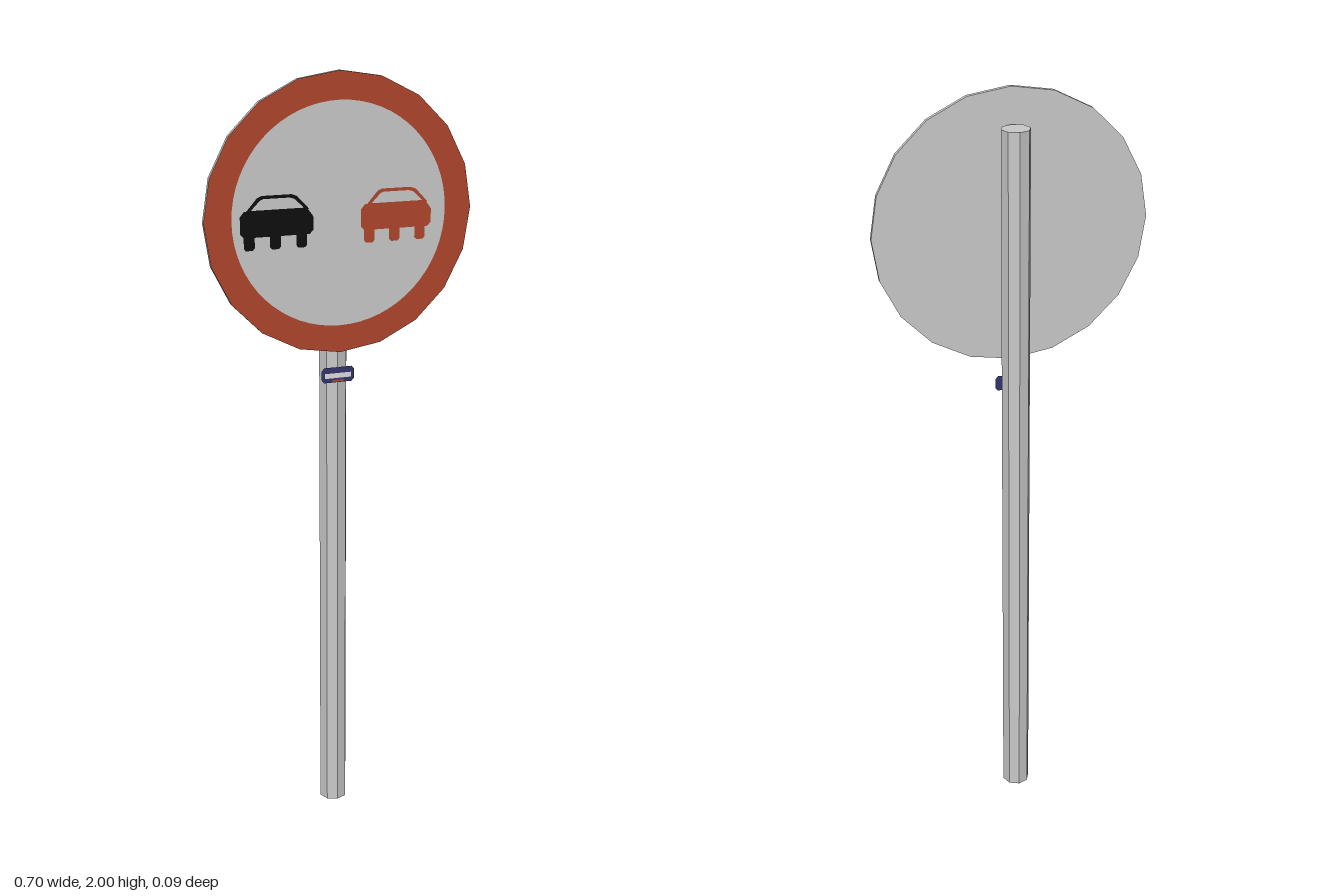
import * as THREE from 'three';

const mat = (name, color, side = THREE.FrontSide) => {
  const m = new THREE.MeshStandardMaterial({ color, side });
  m.name = name;
  return m;
};

export function createModel() {
  const root = new THREE.Group();
  root.name = 'roadSign';
  const grey = mat('light grey', 0xc9c9c9);
  const red = mat('sign red', 0xb0452b);
  const black = mat('black', 0x0e0e0e);
  const blue = mat('navy blue', 0x34356f, THREE.DoubleSide);
  const white = mat('white', 0xdedee2);

  const add = (name, geometry, material, x, y, z, parent = root) => {
    const mesh = new THREE.Mesh(geometry, material);
    mesh.name = name;
    mesh.position.set(x, y, z);
    parent.add(mesh);
    return mesh;
  };
  const polygon = (points) => new THREE.Shape(points.map(([x, y]) => new THREE.Vector2(x, y)));

  // Eight-sided post
  const post = new THREE.CylinderGeometry(0.037, 0.037, 1.91, 8).toNonIndexed();
  post.computeVertexNormals();
  add('post', post, grey, 0, 0.955, -0.015);

  // Twenty-sided sign plate
  const signY = 1.65;
  const plate = new THREE.CylinderGeometry(0.35, 0.35, 0.012, 20).toNonIndexed();
  plate.rotateX(Math.PI / 2);
  plate.computeVertexNormals();
  add('signPlate', plate, grey, 0, signY, 0.034);

  // Red border: the outer edge follows the plate, the inner edge is round
  const border = new THREE.Shape();
  for (let i = 0; i < 20; i++) {
    const a = (i / 20) * Math.PI * 2;
    border[i ? 'lineTo' : 'moveTo'](0.35 * Math.cos(a), 0.35 * Math.sin(a));
  }
  border.closePath();
  border.holes.push(new THREE.Path().absarc(0, 0, 0.28, 0, Math.PI * 2, true));
  add('redBorder', new THREE.ShapeGeometry(border, 32), red, 0, signY, 0.041);

  // Car pictogram: bevelled body, framed cabin and three feet
  const body = polygon([
    [-0.085, -0.032], [0.085, -0.032], [0.094, -0.022], [0.094, 0.012], [0.078, 0.033],
    [-0.083, 0.033], [-0.094, 0.02], [-0.094, -0.022],
  ]);
  const cabin = polygon([
    [-0.08, 0.03], [0.084, 0.03], [0.052, 0.064], [0.038, 0.069], [-0.038, 0.069], [-0.05, 0.064],
  ]);
  cabin.holes.push(polygon([
    [-0.066, 0.034], [-0.042, 0.058], [-0.034, 0.061], [0.034, 0.061], [0.046, 0.057], [0.07, 0.034],
  ]));
  const feet = [-0.071, -0.004, 0.064].map((x) => polygon([
    [x - 0.014, -0.058], [x - 0.009, -0.064], [x + 0.009, -0.064],
    [x + 0.014, -0.058], [x + 0.014, -0.03], [x - 0.014, -0.03],
  ]));
  const addCar = (name, material, x) => {
    const car = new THREE.Group();
    car.name = name;
    car.position.set(x, 1.64, 0.0412);
    root.add(car);
    add('carBody', new THREE.ShapeGeometry(body), material, 0, 0, 0, car);
    add('carCabin', new THREE.ShapeGeometry(cabin), material, 0, 0, 0, car);
    add('carFeet', new THREE.ShapeGeometry(feet), material, 0, 0, 0, car);
  };
  addCar('blackCar', black, -0.165);
  addCar('redCar', red, 0.148);

  // Small sticker on the post with plain coloured bands
  const sticker = polygon([
    [-0.037, -0.02], [0.037, -0.02], [0.044, -0.012], [0.044, 0.012],
    [0.037, 0.02], [-0.037, 0.02], [-0.044, 0.012], [-0.044, -0.012],
  ]);
  add('sticker', new THREE.ShapeGeometry(sticker), blue, 0, 1.236, 0.024);
  add('stickerWhiteBand', new THREE.PlaneGeometry(0.07, 0.013), white, 0, 1.234, 0.0246);
  add('stickerRedBand', new THREE.PlaneGeometry(0.03, 0.005), red, 0, 1.2205, 0.0246);

  return root;
}
